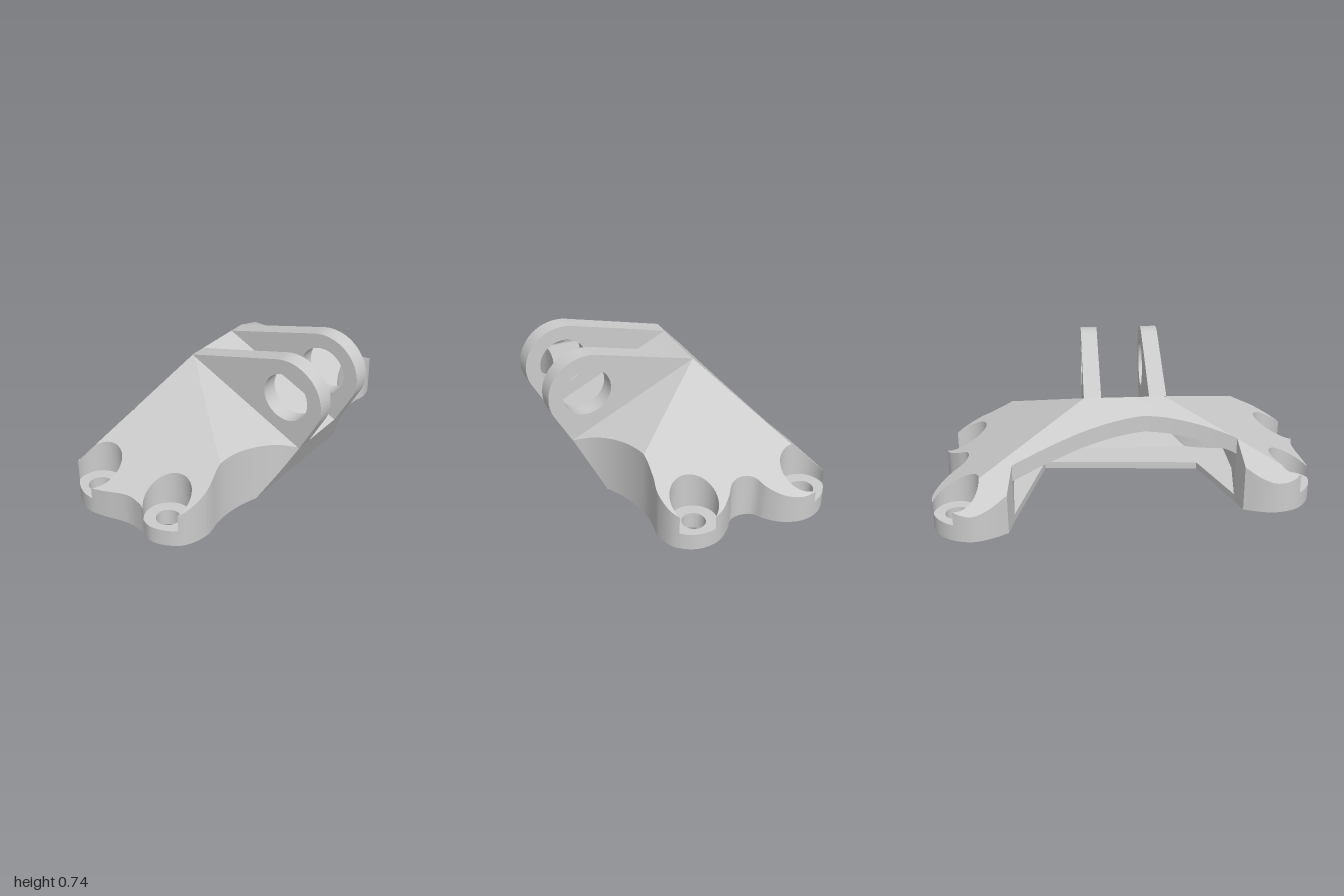
import * as THREE from 'three';
import { toCreasedNormals } from 'three/addons/utils/BufferGeometryUtils.js';

const material = new THREE.MeshStandardMaterial({ color: 0xcccccc, side: THREE.DoubleSide });

// Roof: the lowest of five planes y = a + b*x + c*z
const roofPlanes = [
  [0.6945, -0.545, 0], [0.6945, 0.545, 0],      // side slopes
  [0.492, 0, -0.464],                           // front slope
  [0.77, 0, 1], [0.859, 0.175, 1.275],          // back slopes
];
const planeY = (pl, p) => pl[0] + pl[1] * p[0] + pl[2] * p[1];
const roof = p => Math.min(...roofPlanes.map(pl => planeY(pl, p)));
const SHELL = 0.09, SEAT = 0.09, LIP = 0.04, SEAT_R = 0.12, BORE_R = 0.06;
const ceiling = p => roof(p) - SHELL;
const bolts = [[0.87, 0.135], [0.87, -0.485], [-0.885, -0.27], [-0.885, 0.185]];

// All plan points are [x, z]
function spline(pts, n) {
  const c = new THREE.CatmullRomCurve3(pts.map(p => new THREE.Vector3(p[0], 0, p[1])), false, 'centripetal');
  return c.getPoints(n).map(v => [v.x, v.z]);
}
const circle = (c, r, n = 40) => Array.from({ length: n }, (_, i) => {
  const a = i / n * Math.PI * 2;
  return [c[0] + r * Math.cos(a), c[1] + r * Math.sin(a)];
});

// Keeps the part of a polygon where f >= 0 (f linear)
function clip(poly, f) {
  const out = [];
  poly.forEach((a, i) => {
    const b = poly[(i + 1) % poly.length], fa = f(a), fb = f(b);
    if (fa >= 0) out.push(a);
    if (fa * fb < 0) {
      const t = fa / (fa - fb);
      out.push([a[0] + t * (b[0] - a[0]), a[1] + t * (b[1] - a[1])]);
    }
  });
  return out;
}

function geometry(positions) {
  const g = new THREE.BufferGeometry();
  g.setAttribute('position', new THREE.Float32BufferAttribute(positions, 3));
  return toCreasedNormals(g, 0.5);
}

// Filled polygon; place() lifts a 2D point to 3D, flip reverses the facing
function fill(poly, place, flip = false, holes = []) {
  const v = list => list.map(p => new THREE.Vector2(p[0], p[1]));
  const all = [...poly, ...holes.flat()], pos = [];
  if (poly.length < 3) return pos;
  for (const t of THREE.ShapeUtils.triangulateShape(v(poly), holes.map(v))) {
    const [a, b, c] = t.map(i => all[i]);
    const s = (b[0] - a[0]) * (c[1] - a[1]) - (b[1] - a[1]) * (c[0] - a[0]);
    for (const p of (s > 0) !== flip ? [a, c, b] : [a, b, c]) pos.push(...place(p));
  }
  return pos;
}
const level = y => p => [p[0], y, p[1]];

// Upright wall along a path, between two height rules
function wall(path, low, high) {
  const pos = [];
  for (let i = 0; i + 1 < path.length; i++) {
    const [a, b] = [path[i], path[i + 1]];
    const at = (p, y) => [p[0], y, p[1]];
    const ha = high(a), hb = high(b), la = Math.min(low(a), ha), lb = Math.min(low(b), hb);
    pos.push(...at(a, la), ...at(b, lb), ...at(b, hb), ...at(a, la), ...at(b, hb), ...at(a, ha));
  }
  return pos;
}

// The sloping planes, each trimmed to where it is lowest
const slopes = (poly, drop, flip) => roofPlanes.flatMap((pl, i) => {
  let piece = poly;
  roofPlanes.forEach((o, j) => { if (j !== i) piece = clip(piece, p => planeY(o, p) - planeY(pl, p)); });
  return fill(piece, p => [p[0], planeY(pl, p) - drop, p[1]], flip);
});

// Splits an outline where it runs through a bolt seat
function cutSeats(path) {
  const pieces = [[path[0]]], notches = [];
  const inside = p => bolts.findIndex(b => Math.hypot(p[0] - b[0], p[1] - b[1]) < SEAT_R);
  let prev = -1, run = null;
  for (let i = 1; i < path.length; i++) {
    const k = inside(path[i]);
    if (k !== prev) {
      let a = path[i - 1], b = path[i];
      for (let n = 0; n < 30; n++) {
        const m = [(a[0] + b[0]) / 2, (a[1] + b[1]) / 2];
        if (inside(m) === prev) a = m; else b = m;
      }
      if (k >= 0) {
        pieces.at(-1).push(a);
        run = [a];
      } else {
        run.push(a);
        const c = bolts[prev], ang = p => Math.atan2(p[1] - c[1], p[0] - c[0]);
        const a0 = ang(run[0]);
        let a1 = ang(a);
        if (a1 < a0) a1 += Math.PI * 2;
        const arc = Array.from({ length: 41 }, (_, n) => {
          const t = a0 + (a1 - a0) * n / 40;
          return [c[0] + SEAT_R * Math.cos(t), c[1] + SEAT_R * Math.sin(t)];
        });
        notches.push({ run, arc, bolt: c });
        pieces.push([a]);
      }
      prev = k;
    }
    (k >= 0 ? run : pieces.at(-1)).push(path[i]);
  }
  const upper = pieces.flatMap((p, i) => notches[i] ? [...p, ...notches[i].arc.slice(1, -1)] : p);
  return { pieces, notches, upper };
}

export function createModel() {
  const group = new THREE.Group();
  const add = (name, geo) => {
    const m = new THREE.Mesh(geo, material);
    m.name = name;
    group.add(m);
    return m;
  };

  // Plan outline: front and +x side, back arc, -x side
  const sideA = [[-0.21, 0.5], ...spline([[0.21, 0.5], [0.27, 0.43], [0.34, 0.375], [0.46, 0.315], [0.61, 0.28],
    [0.72, 0.283], [0.8, 0.295], [0.9, 0.265], [0.96, 0.19], [0.975, 0.11], [0.955, 0.03], [0.9, -0.04],
    [0.845, -0.09], [0.83, -0.15], [0.85, -0.21], [0.91, -0.25], [0.97, -0.32], [1, -0.42], [0.975, -0.52],
    [0.9, -0.595], [0.79, -0.625], [0.7, -0.6], [0.61, -0.55]], 160), [0.585, -0.44]];
  const backArc = spline([[0.585, -0.44], [0.4, -0.375], [0.2, -0.315], [0, -0.275], [-0.2, -0.26],
    [-0.4, -0.27], [-0.585, -0.295]], 48);
  const sideB = [[-0.585, -0.295], ...spline([[-0.62, -0.39], [-0.7, -0.418], [-0.79, -0.43], [-0.89, -0.405],
    [-0.96, -0.34], [-0.995, -0.25], [-0.985, -0.16], [-0.96, -0.06], [-0.952, 0], [-0.965, 0.08], [-0.99, 0.155],
    [-0.975, 0.23], [-0.92, 0.31], [-0.8, 0.352], [-0.66, 0.33], [-0.54, 0.335], [-0.42, 0.367], [-0.3, 0.425],
    [-0.21, 0.5]], 140)];
  const cutA = cutSeats(sideA), cutB = cutSeats(sideB);
  const under = z0 => p => Math.max(0, (p[1] - z0) * 2);

  // Outer skin
  const upper = [...cutA.upper, ...backArc.slice(1, -1), ...cutB.upper.slice(0, -1)];
  add('roof', geometry(slopes(upper, 0, false)));
  const pieces = [...cutA.pieces, ...cutB.pieces], notches = [...cutA.notches, ...cutB.notches];
  add('outerWall', geometry(pieces.flatMap(p => wall(p, under(0.37), roof))));
  add('backRim', geometry(wall(backArc, ceiling, roof)));
  const outline = [...sideA, ...backArc.slice(1, -1), ...sideB.slice(0, -1)];
  const leaning = z0 => p => [p[0], (p[1] - z0) * 2, p[1]];
  add('frontFace', geometry(fill(clip(outline, p => p[1] - 0.37), leaning(0.37), true)));

  // Bolt seats: counterbore wall, flat seat, outer edge and bore
  notches.forEach(({ run, arc, bolt }) => {
    const bore = circle(bolt, BORE_R);
    add('boltSeat', geometry([
      ...wall(arc, () => SEAT, roof),
      ...wall(run, () => 0, () => SEAT),
      ...fill([...run, ...arc.slice(1, -1).reverse()], level(SEAT), false, [bore]),
      ...wall([...bore, bore[0]], () => 0, () => SEAT),
    ]));
  });

  // Floor plate, open in the middle and towards the back
  const opening = [[0.585, -0.44], [0.43, 0.14], [-0.43, 0.08], [-0.585, -0.295]];
  const floor = clip([...sideA, ...opening.slice(1, -1), ...sideB.slice(0, -1)], p => 0.37 - p[1]);
  const bores = bolts.map(b => circle(b, BORE_R));
  add('floorPlate', geometry([
    ...fill(floor, level(0), true, bores),
    ...fill(floor, level(LIP), false, bores),
    ...wall(opening, () => 0, () => LIP),
  ]));

  // Hollow inside: ceiling, side walls and leaning front wall
  const inner = [[-0.585, -0.295], [-0.62, 0], ...spline([[-0.61, 0.245], [-0.45, 0.27], [-0.33, 0.315],
    [-0.22, 0.385]], 20), ...spline([[0.22, 0.385], [0.33, 0.285], [0.46, 0.228], [0.59, 0.2]], 20),
    [0.6, -0.1], [0.585, -0.44]];
  const cavity = [...inner, ...backArc.slice(1, -1)];
  const innerLow = p => Math.max(LIP, under(0.27)(p));
  add('ceiling', geometry(slopes(cavity, SHELL, true)));
  add('innerWall', geometry(wall([...inner].reverse(), innerLow, ceiling)));
  add('innerFrontFace', geometry(fill(clip(cavity, p => p[1] - 0.29), leaning(0.27), false)));

  // Pair of clevis lugs with pin holes
  const lug = new THREE.Shape();
  lug.moveTo(-0.19, 0.58);
  lug.lineTo(0.5, 0.258);
  lug.absarc(0.41, 0.53, 0.21, -0.464, 1.843, false);
  lug.closePath();
  const pin = new THREE.Path();
  pin.absarc(0.41, 0.53, 0.13, 0, Math.PI * 2, true);
  lug.holes.push(pin);
  const lugGeo = toCreasedNormals(
    new THREE.ExtrudeGeometry(lug, { depth: 0.09, bevelEnabled: false, curveSegments: 36 }), 0.5);
  lugGeo.rotateY(-Math.PI / 2);
  for (const x of [-0.13, 0.21]) add('clevisLug', lugGeo).position.x = x;

  return group;
}
